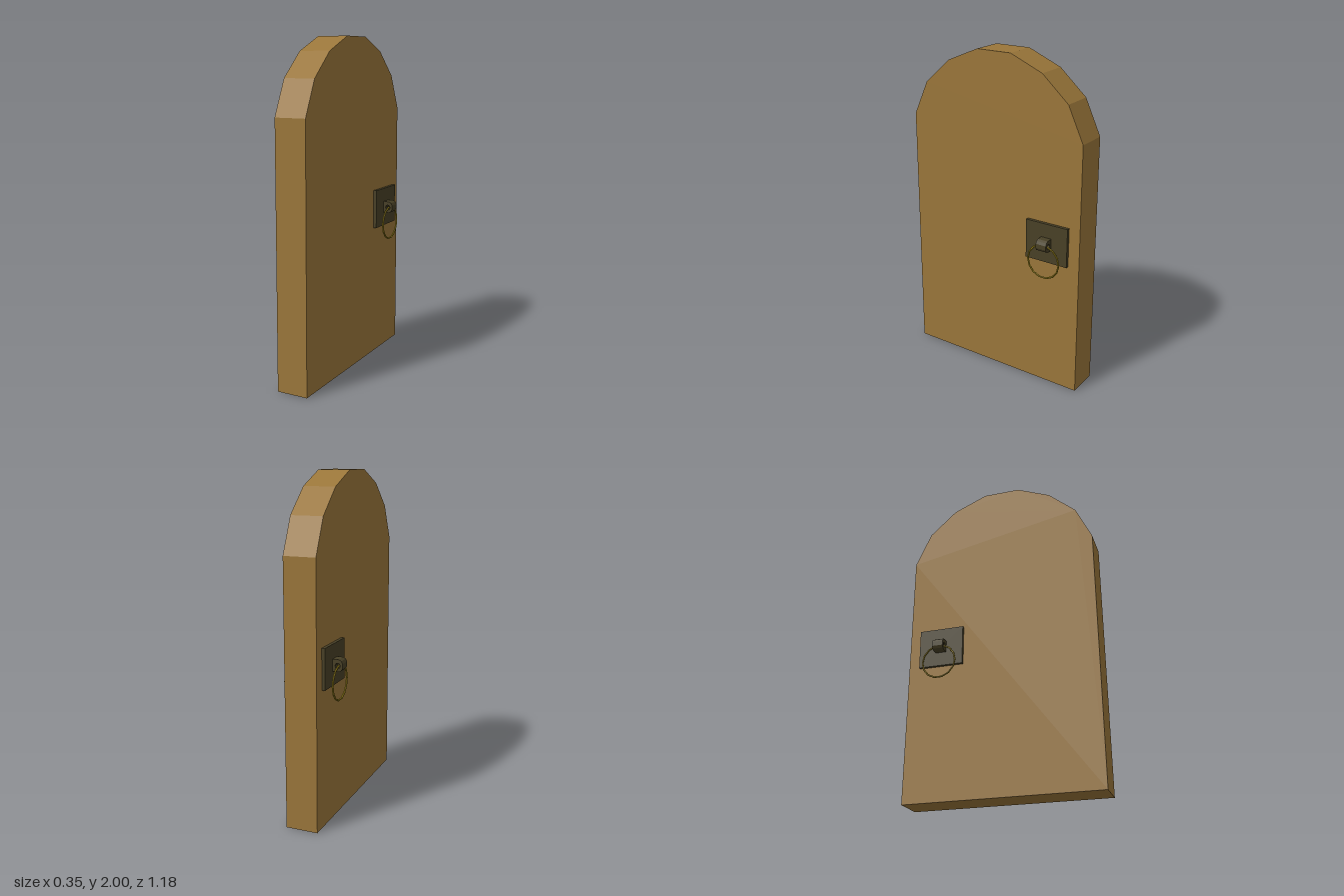
import * as THREE from 'three';

const wood = new THREE.MeshStandardMaterial({ color: 0x9a763a, flatShading: true });
wood.name = 'wood';
const iron = new THREE.MeshStandardMaterial({ color: 0x484026, flatShading: true });
iron.name = 'dark iron';
const brass = new THREE.MeshStandardMaterial({ color: 0xa08a1c, flatShading: true });
brass.name = 'brass';

function part(name, geometry, material) {
  const mesh = new THREE.Mesh(geometry, material);
  mesh.name = name;
  return mesh;
}

// Extrude a flat outline, centred on its depth
function slab(shape, depth) {
  return new THREE.ExtrudeGeometry(shape, { depth, bevelEnabled: false, curveSegments: 4 })
    .translate(0, 0, -depth / 2);
}

const points = (list) => list.map(([x, y]) => new THREE.Vector2(x, y));

// Arched door leaf, thin along x
function makeLeaf() {
  const half = [[0.59, 0], [0.58, 1.56], [0.483, 1.767], [0.317, 1.914], [0.112, 2]];
  const mirrored = half.map(([x, y]) => [-x, y]).reverse();
  const shape = new THREE.Shape(points([...half, ...mirrored]));
  return part('doorLeaf', slab(shape, 0.193).rotateY(-Math.PI / 2), wood);
}

// Backplate, staple and pull ring, built facing +x
function makeHandle(name) {
  const handle = new THREE.Group();
  handle.name = name;

  const plate = part('backplate', new THREE.BoxGeometry(0.022, 0.24, 0.275), iron);
  plate.position.set(0.105, 0.94, 0);

  // Rounded staple with an eye for the ring
  const outline = new THREE.Shape(points([
    [0.112, 0.904], [0.155, 0.904], [0.168, 0.911], [0.176, 0.926],
    [0.176, 0.952], [0.168, 0.967], [0.155, 0.975], [0.112, 0.975],
  ]));
  const eye = new THREE.Path();
  eye.absarc(0.146, 0.938, 0.016, 0, Math.PI * 2, true);
  outline.holes.push(eye);
  const staple = part('staple', slab(outline, 0.067), iron);

  const ring = part('pullRing', new THREE.TorusGeometry(0.103, 0.0055, 6, 14).rotateY(Math.PI / 2), brass);
  ring.position.set(0.146, 0.835, 0);

  handle.add(plate, staple, ring);
  handle.position.z = -0.376;
  return handle;
}

export function createModel() {
  const door = new THREE.Group();
  door.name = 'archedDoor';
  const left = makeHandle('leftHandle');
  const right = makeHandle('rightHandle');
  right.rotation.y = Math.PI;
  door.add(makeLeaf(), left, right);
  return door;
}
